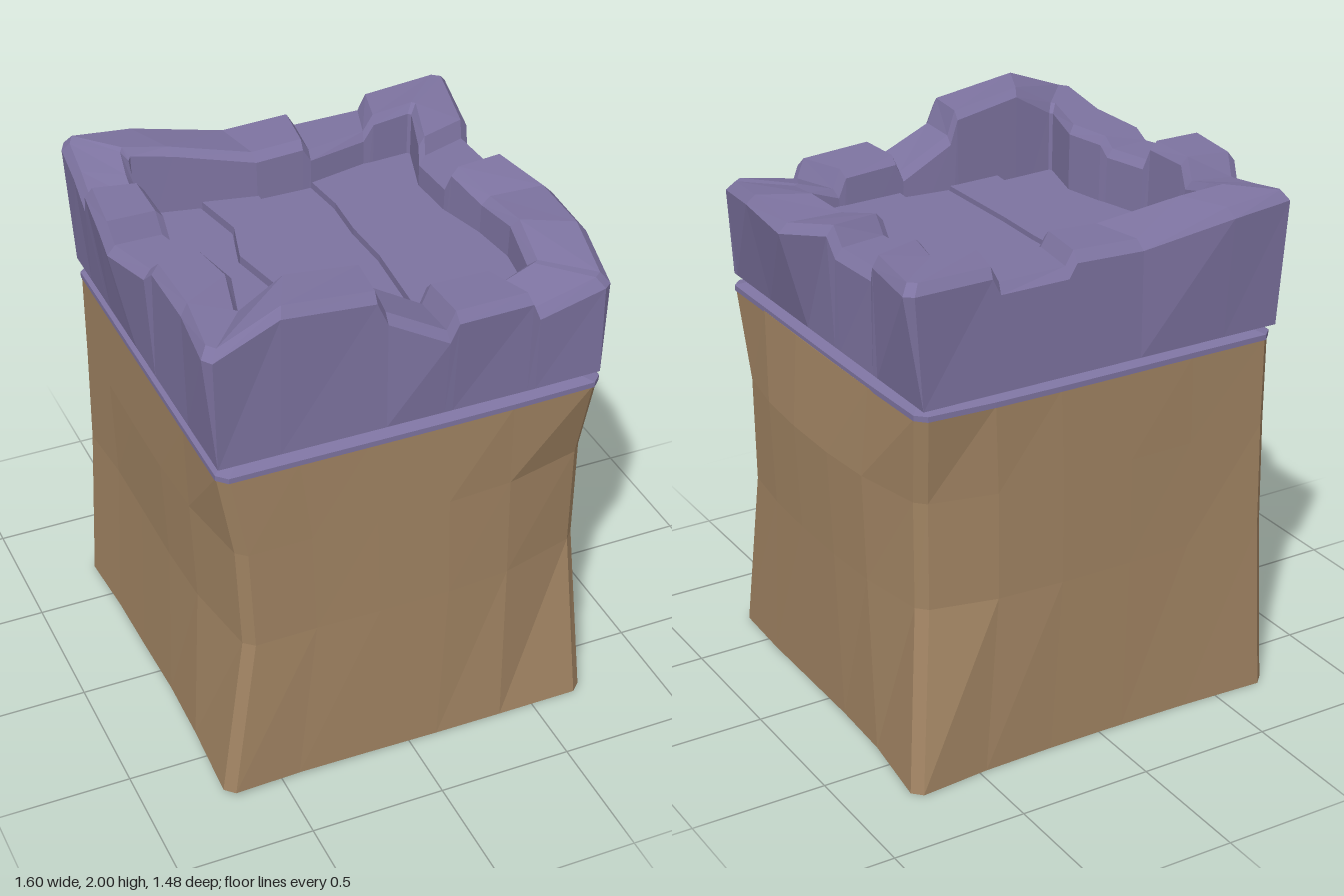
import * as THREE from 'three';

const tan = new THREE.MeshStandardMaterial({ color: 0xa08362 });
tan.name = 'tan stone';
const purple = new THREE.MeshStandardMaterial({ color: 0x7d73a0 });
purple.name = 'purple stone';

// Skin a stack of equal-length loops with flat facets (loops run clockwise seen from above)
function loft(rings, closed = false) {
  const pos = [];
  const tri = (a, b, c) => {
    const area = b.clone().sub(a).cross(c.clone().sub(a)).length();
    if (area > 1e-7) for (const p of [a, b, c]) pos.push(p.x, p.y, p.z);
  };
  const n = rings[0].length;
  for (let i = 0; i < rings.length - (closed ? 0 : 1); i++) {
    const lo = rings[i], hi = rings[(i + 1) % rings.length];
    for (let j = 0; j < n; j++) {
      const k = (j + 1) % n;
      tri(lo[j], hi[j], lo[k]);
      tri(lo[k], hi[j], hi[k]);
    }
  }
  const g = new THREE.BufferGeometry();
  g.setAttribute('position', new THREE.Float32BufferAttribute(pos, 3));
  g.computeVertexNormals();
  return g;
}

const V = (x, y, z) => new THREE.Vector3(x, y, z);
const capRing = (ring, y) => ring.map(() => V(0, y, 0));

function part(group, name, geometry, material) {
  const m = new THREE.Mesh(geometry, material);
  m.name = name;
  group.add(m);
}

// Four-sided loop: corners BL, BR, FR, FL with a small bevel, and side offsets back, right, front, left
function squareRing(y, corners, sides, bevel = 0.035) {
  const ring = [];
  corners.forEach(([x, z], i) => {
    const [nx, nz] = corners[(i + 1) % 4];
    const len = Math.hypot(nx - x, nz - z);
    const at = t => V(x + (nx - x) * t, y, z + (nz - z) * t);
    ring.push(at(bevel / len));
    for (const t of [0.24, 0.42, 0.62, 0.8]) {
      const p = at(t);
      // the pinch stays near the corners, the middle follows the side offset
      const w = t > 0.3 && t < 0.7 ? 1 : 0.75;
      if (i % 2 === 0) p.z += (sides[i] - p.z) * w;
      else p.x += (sides[i] - p.x) * w;
      ring.push(p);
    }
    ring.push(at(1 - bevel / len));
  });
  return ring;
}

// Wall stations: outer x, outer z, inner x, inner z, top height
const backWall = [
  [-0.73, -0.70, -0.54, -0.53, 1.92], [-0.71, -0.735, -0.53, -0.54, 1.93],
  [-0.48, -0.74, -0.38, -0.51, 1.91], [-0.14, -0.70, -0.09, -0.45, 1.85],
  [0.12, -0.70, 0.09, -0.45, 1.86], [0.15, -0.70, 0.12, -0.45, 1.81],
  [0.41, -0.70, 0.35, -0.50, 1.81], [0.44, -0.70, 0.39, -0.50, 1.87],
];
const rightWall = [
  [0.74, -0.725, 0.53, -0.51, 1.88], [0.77, -0.70, 0.54, -0.50, 1.88],
  [0.71, -0.39, 0.48, -0.31, 1.86], [0.70, -0.36, 0.47, -0.28, 1.80],
  [0.71, -0.13, 0.48, -0.09, 1.80], [0.72, -0.09, 0.49, -0.06, 1.87],
  [0.80, 0.11, 0.53, 0.10, 1.83], [0.78, 0.40, 0.55, 0.28, 1.84],
];
const frontWall = [
  [0.73, 0.67, 0.52, 0.47, 1.80], [0.70, 0.695, 0.50, 0.48, 1.80],
  [0.45, 0.71, 0.37, 0.49, 1.75], [0.42, 0.715, 0.34, 0.49, 1.82],
  [0.14, 0.735, 0.13, 0.50, 1.83], [0.11, 0.73, 0.10, 0.50, 1.76],
  [-0.10, 0.70, -0.09, 0.485, 1.87], [-0.14, 0.70, -0.12, 0.485, 1.96],
  [-0.48, 0.715, -0.38, 0.50, 2.0],
];
const leftWall = [
  [-0.72, 0.735, -0.53, 0.51, 1.91], [-0.745, 0.70, -0.54, 0.50, 1.91],
  [-0.71, 0.43, -0.48, 0.29, 1.90], [-0.71, 0.16, -0.51, 0.13, 1.90],
  [-0.725, 0.12, -0.52, 0.10, 1.86], [-0.785, -0.07, -0.56, -0.07, 1.86],
  [-0.80, -0.10, -0.57, -0.10, 1.94], [-0.77, -0.33, -0.57, -0.29, 1.94],
  [-0.76, -0.37, -0.57, -0.32, 1.86], [-0.74, -0.54, -0.56, -0.43, 1.89],
];

function battlementGeometry() {
  const stations = [...backWall, ...rightWall, ...frontWall, ...leftWall];
  const clamp = v => THREE.MathUtils.clamp(v, -0.7, 0.7);
  const ring = f => stations.map(s => f(...s));
  const mix = THREE.MathUtils.lerp;
  return loft([
    ring((ox, oz) => V(clamp(ox), 1.43, clamp(oz))),
    ring((ox, oz, ix, iz, y) => V(ox, y - 0.035, oz)),
    ring((ox, oz, ix, iz, y) => V(mix(ox, ix, 0.13), y, mix(oz, iz, 0.13))),
    ring((ox, oz, ix, iz, y) => V(mix(ox, ix, 0.88), y, mix(oz, iz, 0.88))),
    ring((ox, oz, ix, iz, y) => V(ix, y - 0.03, iz)),
    ring((ox, oz, ix, iz) => V(ix * 0.98, 1.43, iz * 0.98)),
  ], true);
}

// Floor slabs share these wavy seams (x at evenly spaced z)
const seams = [
  [-0.6, -0.6, -0.6, -0.6, -0.6],
  [-0.30, -0.25, -0.30, -0.26, -0.30],
  [-0.08, -0.085, -0.08, -0.085, -0.08],
  [0.11, 0.14, 0.13, 0.14, 0.11],
  [0.58, 0.58, 0.58, 0.58, 0.58],
];
const seamZ = [-0.54, -0.28, -0.1, 0.1, 0.54];

function slabGeometry(i) {
  const gap = 0.003;
  const left = seams[i].map((x, k) => new THREE.Vector2(x + gap, seamZ[k]));
  const right = seams[i + 1].map((x, k) => new THREE.Vector2(x - gap, seamZ[k]));
  const shape = new THREE.Shape([...left, ...right.reverse()]);
  const g = new THREE.ExtrudeGeometry(shape, { depth: 0.2, bevelEnabled: false });
  return g.rotateX(Math.PI / 2);
}

export function createModel() {
  const model = new THREE.Group();
  model.name = 'towerBlock';

  // Tapered body with pinched corners
  const top = [[-0.70, -0.69], [0.70, -0.67], [0.71, 0.70], [-0.70, 0.71]];
  const body = [
    squareRing(0, [[-0.72, -0.72], [0.77, -0.73], [0.71, 0.72], [-0.72, 0.74]], [-0.70, 0.72, 0.72, -0.70]),
    squareRing(0.65, [[-0.70, -0.70], [0.68, -0.62], [0.70, 0.61], [-0.62, 0.71]], [-0.69, 0.735, 0.71, -0.68]),
    squareRing(1.05, [[-0.70, -0.69], [0.68, -0.62], [0.70, 0.62], [-0.64, 0.71]], [-0.69, 0.75, 0.71, -0.70]),
    squareRing(1.38, top, [-0.69, 0.715, 0.71, -0.70]),
  ];
  // the base lifts slightly at the front left
  for (const p of body[0]) if (p.x < 0 && p.z > 0) p.y = 0.02 * Math.min(1, -p.x / 0.7);
  part(model, 'body', loft([capRing(body[0], 0), ...body, capRing(body[3], 1.38)]), tan);

  // Bevelled ledge and the recessed neck above it
  const scaled = (y, s) => squareRing(y, top.map(([x, z]) => [x * s, z * s]), [-0.69, 0.71, 0.71, -0.70].map(v => v * s));
  const ledge = [scaled(1.375, 1.005), scaled(1.395, 1.005), scaled(1.412, 0.955), scaled(1.45, 0.955)];
  part(model, 'ledge', loft([capRing(ledge[0], 1.375), ...ledge, capRing(ledge[0], 1.45)]), purple);

  // Crumbling parapet
  part(model, 'battlement', battlementGeometry(), purple);

  // Stepped floor slabs
  [1.66, 1.685, 1.67, 1.69].forEach((y, i) => {
    part(model, 'floorSlab', slabGeometry(i).translate(0, y, 0), purple);
  });

  return model;
}
